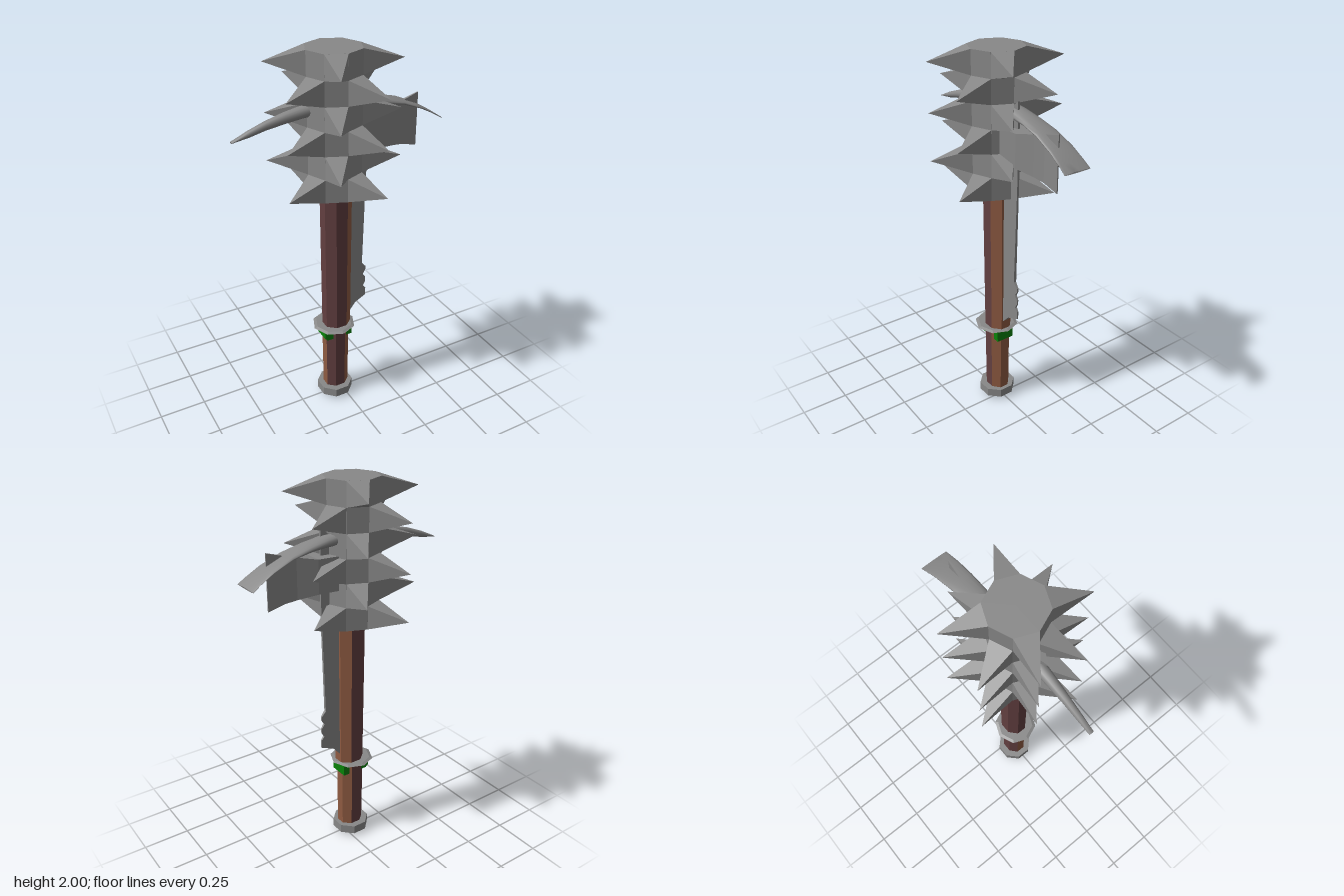
import * as THREE from 'three';

const std = (name, color) => {
  const m = new THREE.MeshStandardMaterial({ color });
  m.name = name;
  return m;
};

// Faceted normals for hard-edged parts
const flat = (geo) => {
  const g = geo.index ? geo.toNonIndexed() : geo;
  g.computeVertexNormals();
  return g;
};

// Loft along x through sections [x, yTop, yBottom, halfDepth]; four sides give a rectangle
function loft(sections, sides, zMid = 0) {
  const pos = [], idx = [];
  const k = sides === 4 ? Math.SQRT2 : 1;
  for (const [x, top, bottom, depth] of sections) {
    for (let j = 0; j < sides; j++) {
      const t = ((j + 0.5) / sides) * Math.PI * 2;
      pos.push(x, (top + bottom) / 2 + (Math.cos(t) * k * (top - bottom)) / 2, zMid + Math.sin(t) * k * depth);
    }
  }
  const last = (sections.length - 1) * sides;
  for (let i = 0; i < last; i += sides) {
    for (let j = 0; j < sides; j++) {
      const n = (j + 1) % sides;
      idx.push(i + j, i + n, i + sides + j, i + n, i + sides + n, i + sides + j);
    }
  }
  for (let j = 1; j < sides - 1; j++) {
    idx.push(0, j + 1, j, last, last + j, last + j + 1);
  }
  const g = new THREE.BufferGeometry();
  g.setAttribute('position', new THREE.Float32BufferAttribute(pos, 3));
  g.setIndex(idx);
  g.computeVertexNormals();
  return g;
}

export function createModel() {
  const steel = std('steel', 0x888888);
  const darkWood = std('dark wood', 0x623f40);
  const wood = std('wood', 0x8f5b42);
  const green = std('green', 0x088208);

  const model = new THREE.Group();
  const add = (name, geo, mat, x = 0, y = 0, z = 0, parent = model) => {
    const m = new THREE.Mesh(geo, mat);
    m.name = name;
    m.position.set(x, y, z);
    parent.add(m);
    return m;
  };

  // Eight-sided shaft with pale faces on the blade side
  function shaft(name, rTop, rBottom, y0, y1, x, paleFaces) {
    const g = new THREE.CylinderGeometry(rTop, rBottom, y1 - y0, 8, 1, true, -Math.PI / 8);
    g.clearGroups();
    for (let i = 0; i < 8; i++) g.addGroup(i * 6, 6, paleFaces.includes(i) ? 1 : 0);
    g.scale(1, 1, 0.88);
    add(name, flat(g), [darkWood, wood], x, (y0 + y1) / 2);
  }
  shaft('upperHandle', 0.083, 0.078, 0.475, 1.3, -0.031, [1, 2, 3]);
  shaft('lowerGrip', 0.074, 0.07, 0.05, 0.475, -0.037, [1, 2, 3, 6]);

  // Pommel and its end stud
  const octagon = (r, h) => flat(new THREE.CylinderGeometry(r, r, h, 8, 1, false, -Math.PI / 8));
  add('pommel', octagon(0.098, 0.048), steel, -0.042, 0.043);
  add('pommelStud', flat(new THREE.CylinderGeometry(0.033, 0.024, 0.02, 8)), steel, -0.035, 0.01);

  // Guard plate with thinned rim
  const rim = [[0.05, -0.006], [0.1, -0.006], [0.117, 0], [0.1, 0.006], [0.05, 0.006]]
    .map(([r, y]) => new THREE.Vector2(r, y));
  add('guard', flat(new THREE.LatheGeometry(rim, 8)), steel, -0.047, 0.475);

  // Green grips under the guard
  add('gripBlockLeft', new THREE.BoxGeometry(0.04, 0.065, 0.1), green, 0.017, 0.437);
  add('gripBlockRight', flat(loft([[-0.125, 0.46, 0.42, 0.05], [-0.11, 0.47, 0.405, 0.05],
    [-0.075, 0.47, 0.405, 0.05]], 4)), green);

  // Spiked head: octagonal core, six rings of four spikes, each turned by an eighth
  const head = new THREE.Group();
  head.name = 'spikedHead';
  head.position.x = -0.04;
  model.add(head);
  add('headCore', flat(new THREE.CylinderGeometry(0.14, 0.14, 0.72, 8)), steel, 0, 1.64, 0, head);
  const spike = flat(new THREE.ConeGeometry(Math.SQRT1_2, 1, 4, 1, true)
    .rotateY(Math.PI / 4).translate(0, 0.5, 0).scale(0.12, 0.196, 0.107)
    .rotateZ(-Math.PI / 2).translate(0.129, 0, 0));
  for (let ring = 0; ring < 6; ring++) {
    for (let i = 0; i < 4; i++) {
      const angle = Math.PI / 8 + i * Math.PI / 2 + (ring % 2 ? 0 : Math.PI / 4);
      add('spike', spike, steel, 0, 1.34 + ring * 0.12, 0, head).rotation.y = -angle;
    }
  }

  // Curved pick that widens into an adze on the other side
  add('pick', loft([[-0.55, 1.637, 1.631, 0.012], [-0.47, 1.673, 1.641, 0.016], [-0.385, 1.703, 1.66, 0.02],
    [-0.29, 1.728, 1.674, 0.026], [-0.2, 1.744, 1.685, 0.031], [-0.04, 1.76, 1.69, 0.04]], 16, -0.012), steel);
  add('adze', loft([[-0.04, 1.76, 1.69, 0.04], [0.12, 1.746, 1.69, 0.05], [0.22, 1.725, 1.685, 0.055],
    [0.325, 1.696, 1.669, 0.06], [0.43, 1.65, 1.632, 0.066], [0.5, 1.607, 1.597, 0.07],
    [0.543, 1.578, 1.571, 0.073]], 16, -0.012), steel);

  // Axe wedge below the adze
  add('axeBlade', flat(loft([[0.05, 1.65, 1.48, 0.065], [0.18, 1.65, 1.48, 0.05], [0.28, 1.67, 1.465, 0.02],
    [0.34, 1.685, 1.455, 0.008], [0.428, 1.712, 1.432, 0.003]], 4)), steel);

  // Small rear spike above the pick
  add('rearSpike', flat(loft([[-0.25, 1.785, 1.781, 0.002], [-0.19, 1.81, 1.75, 0.025], [-0.1, 1.81, 1.75, 0.025]], 4)), steel);

  // Notched long blade along the shaft, thinning towards its edge
  const outline = [[0.02, 0.52], [0.045, 0.535], [0.08, 0.575], [0.148, 0.6], [0.148, 0.645], [0.132, 0.665],
    [0.146, 0.69], [0.146, 0.715], [0.13, 0.74], [0.146, 0.765], [0.146, 0.785], [0.122, 0.815],
    [0.14, 1.4], [0.138, 1.78], [0.1, 1.75], [0.02, 1.75]].map(([x, y]) => new THREE.Vector2(x, y));
  const blade = new THREE.ExtrudeGeometry(new THREE.Shape(outline), { depth: 1, bevelEnabled: false });
  const p = blade.attributes.position;
  for (let i = 0; i < p.count; i++) {
    const half = THREE.MathUtils.mapLinear(p.getX(i), 0.02, 0.15, 0.02, 0.004);
    p.setZ(i, (p.getZ(i) * 2 - 1) * half);
  }
  add('longBlade', flat(blade), steel);

  return model;
}
